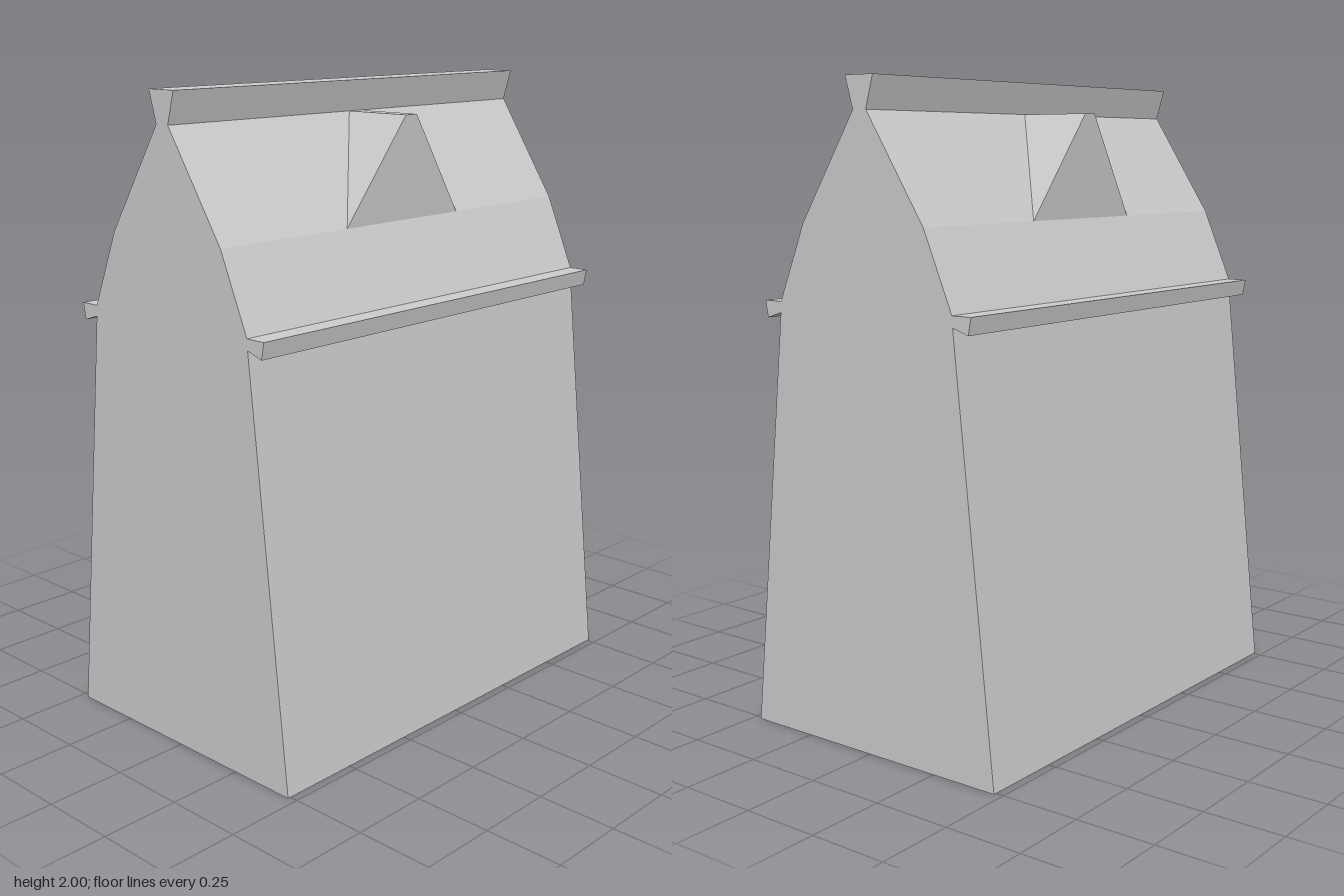
import * as THREE from 'three';

const HALF_LENGTH = 0.76;
const material = new THREE.MeshStandardMaterial({
  color: 0xcccccc, flatShading: true, side: THREE.DoubleSide,
});

// Right-hand half of the gable outline, from the ground up to the ridge
const outline = [
  [0.474, 0], [0.335, 1.31],                    // battered wall
  [0.39, 1.292], [0.4, 1.344], [0.333, 1.344],  // eave gutter
  [0.233, 1.58], [0.025, 1.903],                // two-pitch roof
  [0.053, 2],                                   // flared ridge
];
const mirrored = (points) => points.map(([x, y]) => [-x, y]).reverse();

function addMesh(group, name, geometry) {
  const mesh = new THREE.Mesh(geometry, material);
  mesh.name = name;
  group.add(mesh);
  return mesh;
}

// Flat faces from corner loops listed counter-clockwise from outside
function faceGeometry(faces) {
  const positions = [];
  for (const face of faces) {
    for (let i = 1; i < face.length - 1; i++) {
      positions.push(...face[0], ...face[i], ...face[i + 1]);
    }
  }
  const geometry = new THREE.BufferGeometry();
  geometry.setAttribute('position', new THREE.Float32BufferAttribute(positions, 3));
  geometry.computeVertexNormals();
  return geometry;
}

// Open strip running the whole length of the building
function strip(points) {
  const faces = [];
  for (let i = 0; i < points.length - 1; i++) {
    const [p, q] = [points[i], points[i + 1]];
    faces.push([
      [...p, HALF_LENGTH], [...p, -HALF_LENGTH],
      [...q, -HALF_LENGTH], [...q, HALF_LENGTH],
    ]);
  }
  return faceGeometry(faces);
}

// Wedge dormer on the right-hand roof slope
function dormer() {
  const foot = (z) => [0.233, 1.58, z];
  const peak = (z) => [0.26, 1.903, z];
  const root = (z) => [0.025, 1.903, z];
  const w = 0.255, t = 0.025;
  return faceGeometry([
    [foot(w), foot(-w), peak(-t), peak(t)],  // outer face
    [foot(w), peak(t), root(t)],             // front slope
    [foot(-w), root(-t), peak(-t)],          // back slope
    [peak(t), peak(-t), root(-t), root(t)],  // flat top
  ]);
}

export function createModel() {
  const model = new THREE.Group();
  model.name = 'gabledBuilding';

  // Long walls, gutters and roof slopes on both sides; the base stays open
  const parts = { Wall: [0, 2], Eave: [1, 5], Roof: [4, 7] };
  for (const [name, [from, to]] of Object.entries(parts)) {
    const points = outline.slice(from, to);
    addMesh(model, 'left' + name, strip(points));
    addMesh(model, 'right' + name, strip(mirrored(points)));
  }

  // Flared ridge beam
  const ridge = outline.slice(6);
  addMesh(model, 'ridge', strip([...ridge, ...mirrored(ridge)]));

  // Gable ends
  const shape = new THREE.Shape(
    [...outline, ...mirrored(outline)].map(([x, y]) => new THREE.Vector2(x, y)));
  const end = new THREE.ShapeGeometry(shape);
  addMesh(model, 'frontGable', end).position.z = HALF_LENGTH;
  const back = addMesh(model, 'backGable', end);
  back.position.z = -HALF_LENGTH;
  back.rotation.y = Math.PI;

  // Dormers, one per slope
  addMesh(model, 'leftDormer', dormer());
  addMesh(model, 'rightDormer', dormer()).rotation.y = Math.PI;

  return model;
}
